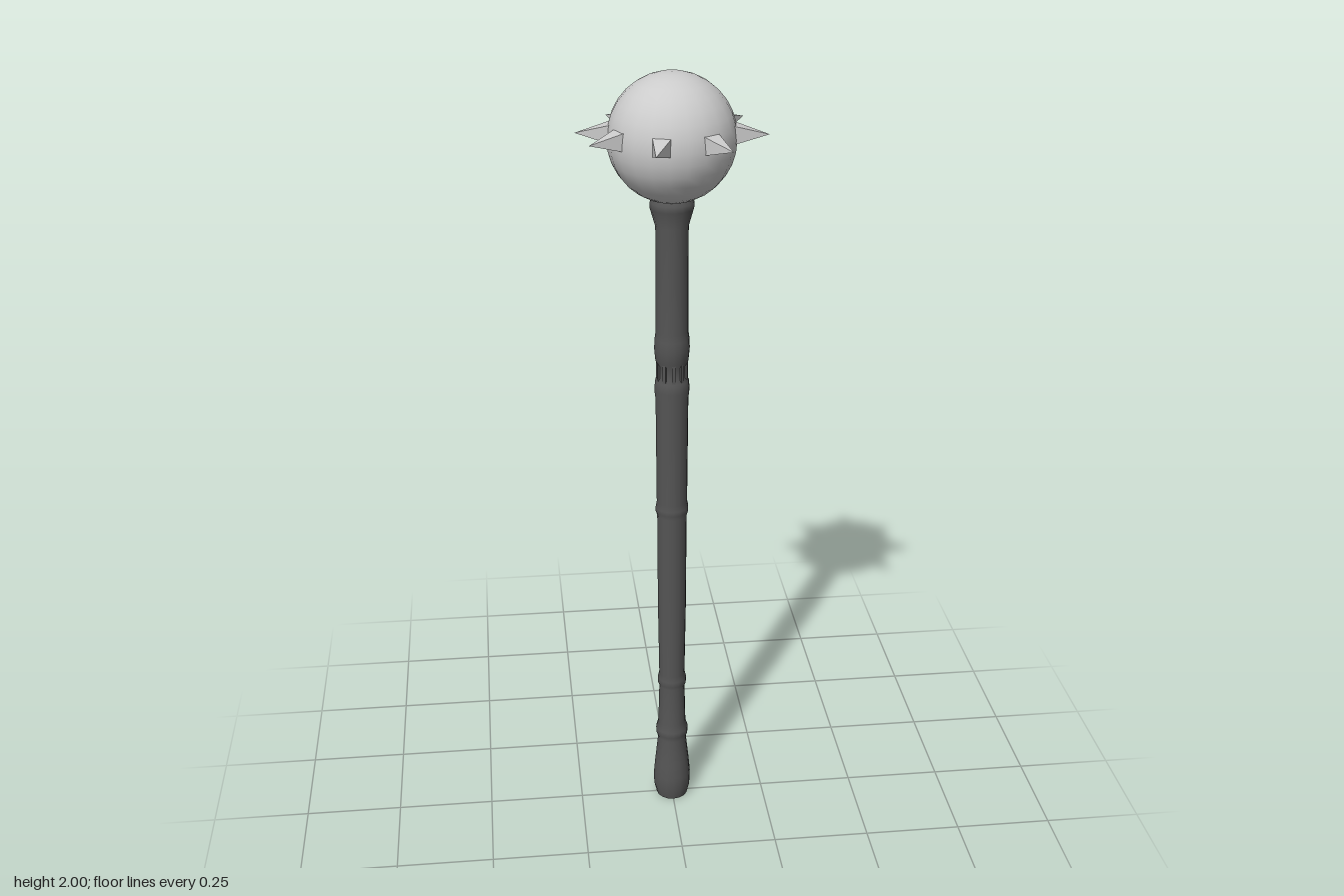
import * as THREE from 'three';

const HEAD_Y = 1.848, HEAD_R = 0.153;

export function createModel() {
  const model = new THREE.Group();
  model.name = 'spikedMace';
  const steel = new THREE.MeshStandardMaterial({ color: 0xcccccc });
  const spikeSteel = new THREE.MeshStandardMaterial({ color: 0xcccccc, flatShading: true });
  const wood = new THREE.MeshStandardMaterial({ color: 0x555555 });

  const add = (name, geometry, material, parent = model) => {
    const mesh = new THREE.Mesh(geometry, material);
    mesh.name = name;
    parent.add(mesh);
    return mesh;
  };

  // Turned handle: pommel, grip rings, tapering shaft, groove and collar
  const profile = [
    [0.042, 0], [0.049, 0.03], [0.05, 0.065], [0.046, 0.11], [0.038, 0.185],
    [0.043, 0.2], [0.043, 0.215], [0.037, 0.235], [0.034, 0.35], [0.038, 0.36],
    [0.038, 0.375], [0.034, 0.39], [0.037, 0.6], [0.038, 0.865], [0.042, 0.878],
    [0.042, 0.89], [0.039, 0.905], [0.041, 1.19], [0.044, 1.215], [0.042, 1.24],
    [0.034, 1.25], [0.034, 1.28], [0.041, 1.292], [0.044, 1.325], [0.043, 1.35],
    [0.04, 1.37], [0.04, 1.635], [0.053, 1.68], [0.053, 1.695], [0.044, 1.708],
  ].map(([r, y]) => new THREE.Vector2(r, y));
  add('handle', new THREE.LatheGeometry(profile, 16), wood);

  // Flat pommel cap
  const cap = add('pommelCap', new THREE.CircleGeometry(0.042, 16), wood);
  cap.rotation.x = Math.PI / 2;

  // Small ribs bridging the groove
  const ribs = new THREE.Group();
  ribs.name = 'grooveRibs';
  model.add(ribs);
  const ribGeometry = new THREE.BoxGeometry(0.008, 0.05, 0.008);
  for (let i = 0; i < 10; i++) {
    const a = (i / 10) * Math.PI * 2;
    const rib = add('grooveRib', ribGeometry, wood, ribs);
    rib.position.set(Math.sin(a) * 0.035, 1.265, Math.cos(a) * 0.035);
    rib.rotation.y = a;
  }

  // Ball head
  const head = add('head', new THREE.SphereGeometry(HEAD_R, 22, 16), steel);
  head.position.y = HEAD_Y;

  // Ring of square-based spikes, placed by the direction of each tip (x, z)
  const spikes = new THREE.Group();
  spikes.name = 'spikes';
  spikes.position.y = 1.861;
  model.add(spikes);
  const spikeGeometry = new THREE.ConeGeometry(0.032, 0.084, 4)
    .rotateY(Math.PI / 4).rotateX(Math.PI / 2).translate(0, 0, 0.184);
  const tips = [
    [0.032, -0.222], [0.187, -0.13], [0.223, 0.047], [0.118, 0.195],
    [-0.06, 0.22], [-0.2, 0.105], [-0.225, -0.015], [-0.14, -0.174],
  ];
  for (const [x, z] of tips) {
    const spike = add('spike', spikeGeometry, spikeSteel, spikes);
    spike.rotation.y = Math.atan2(x, z);
  }

  return model;
}
